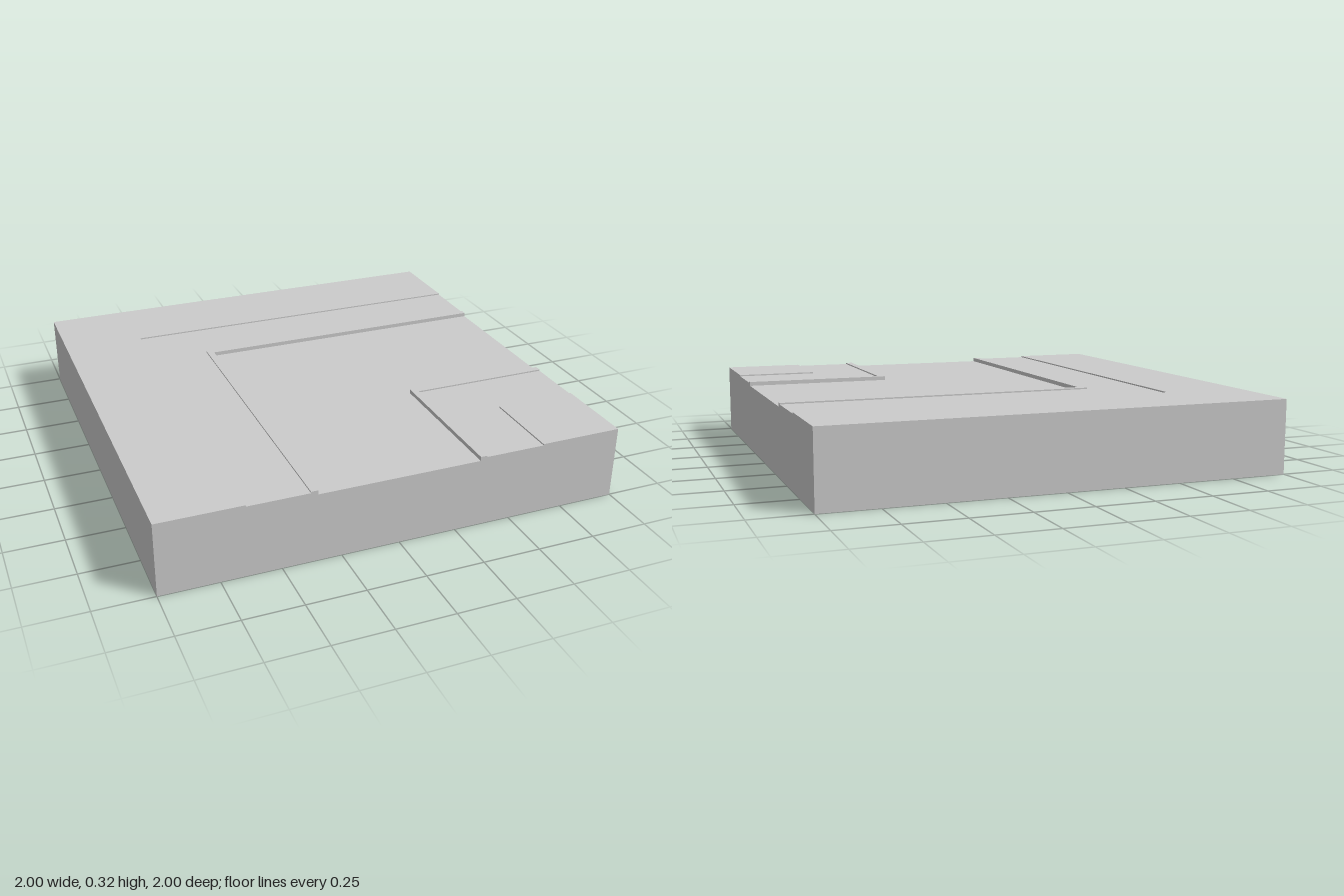
import * as THREE from 'three';

const GROUND = 0.32, PAVEMENT = 0.314, ROAD = 0.302;

// Bands from the outer corner to the inner corner: name, start, end, height
const BANDS = [
  ['outerGround', -1, -0.64, GROUND],
  ['outerPavement', -0.64, -0.38, PAVEMENT],
  ['outerKerb', -0.38, -0.35, GROUND],
  ['road', -0.35, 0.35, ROAD],
  ['innerKerb', 0.35, 0.38, GROUND],
  ['innerPavement', 0.38, 0.64, PAVEMENT],
  ['innerGround', 0.64, 1, GROUND],
];

// Flat-shaded geometry from quads, skipping triangles with no area
function quadGeometry(quads) {
  const points = [];
  const tri = new THREE.Triangle();
  for (const quad of quads) {
    const [a, b, c, d] = quad.map((p) => new THREE.Vector3(...p));
    for (const t of [[a, b, c], [a, c, d]]) {
      if (tri.set(...t).getArea() > 1e-9) points.push(...t);
    }
  }
  const geometry = new THREE.BufferGeometry().setFromPoints(points);
  geometry.computeVertexNormals();
  return geometry;
}

// L-shaped band turning from the front edge to the left edge of the tile
function bandGeometry(s, e, h, previousHeight) {
  const p = previousHeight;
  return quadGeometry([
    // top, mitred at the bend
    [[s, h, 1], [e, h, 1], [e, h, e], [s, h, s]],
    [[s, h, s], [e, h, e], [1, h, e], [1, h, s]],
    // cut ends on the tile's front and side
    [[s, 0, 1], [e, 0, 1], [e, h, 1], [s, h, 1]],
    [[1, 0, e], [1, 0, s], [1, h, s], [1, h, e]],
    // step up or down from the previous band
    [[s, p, s], [s, p, 1], [s, h, 1], [s, h, s]],
    [[1, p, s], [s, p, s], [s, h, s], [1, h, s]],
  ]);
}

export function createModel() {
  const group = new THREE.Group();
  group.name = 'cornerRoadTile';
  const material = new THREE.MeshStandardMaterial({ color: 0xcccccc, flatShading: true });
  const add = (name, geometry) => {
    const mesh = new THREE.Mesh(geometry, material);
    mesh.name = name;
    group.add(mesh);
  };

  // Bands, the first rising from the floor to form the tile's back and right walls
  let previousHeight = 0;
  for (const [name, start, end, height] of BANDS) {
    add(name, bandGeometry(start, end, height, previousHeight));
    previousHeight = height;
  }

  // Underside
  add('underside', new THREE.PlaneGeometry(2, 2).rotateX(Math.PI / 2));
  return group;
}
